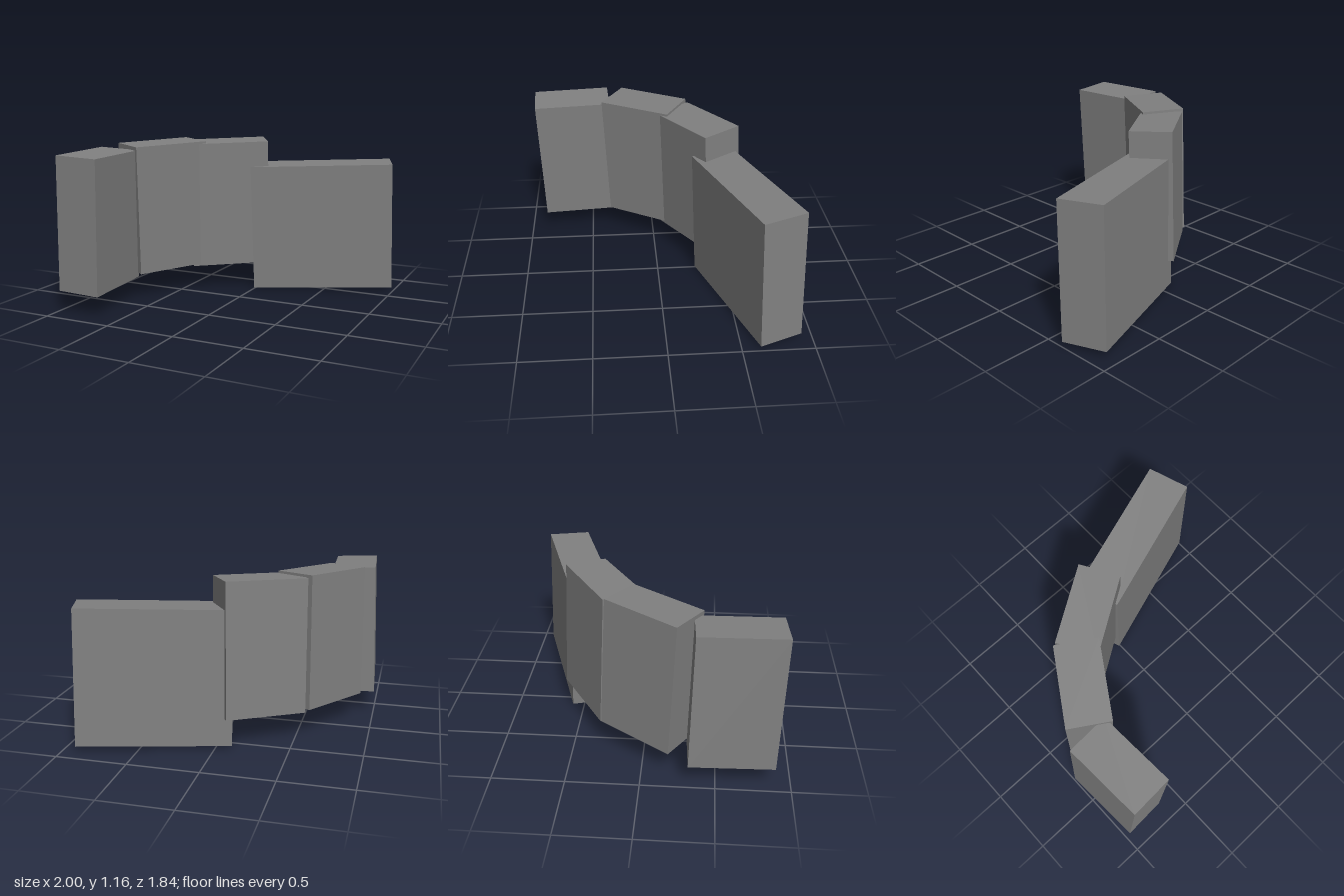
import * as THREE from 'three';

// Each slab: lower front-left corner, then its edge vectors to the right, up and back
const SLABS = [
  { name: 'frontEndBlock', corner: [-0.97, 0.16, 0.89], right: [0.307, -0.015, -0.016], up: [0.037, 0.952, 0.027], back: [-0.03, 0.011, -0.573] },
  { name: 'frontMiddleBlock', corner: [-0.908, 0.197, 0.182], right: [0.262, -0.011, 0.163], up: [0.012, 0.948, 0.045], back: [0.311, 0.02, -0.48] },
  { name: 'rearMiddleBlock', corner: [-0.415, 0.185, -0.052], right: [0.49, 0.017, -0.318], up: [0.01, 0.948, 0.043], back: [-0.155, 0.014, -0.256] },
  { name: 'longEndBlock', corner: [-0.01, 0.003, -0.289], right: [1.006, 0.034, -0.336], up: [-0.016, 0.952, 0.04], back: [-0.1, 0.013, -0.294] },
];

// Unit box stretched and tilted along three edge vectors
function makeSlab({ name, corner, right, up, back }, material) {
  const [c, r, u, b] = [corner, right, up, back].map((v) => new THREE.Vector3(...v));
  const basis = new THREE.Matrix4().makeBasis(r, u, b.clone().negate());
  const geometry = new THREE.BoxGeometry(1, 1, 1).applyMatrix4(basis);
  const mesh = new THREE.Mesh(geometry, material);
  mesh.position.copy(c).addScaledVector(r, 0.5).addScaledVector(u, 0.5).addScaledVector(b, 0.5);
  mesh.name = name;
  return mesh;
}

export function createModel() {
  const group = new THREE.Group();
  group.name = 'curvedBlockWall';
  const material = new THREE.MeshStandardMaterial({ color: 0x808080, flatShading: true });
  // Four tilted blocks forming a curved wall
  for (const slab of SLABS) group.add(makeSlab(slab, material));
  return group;
}
